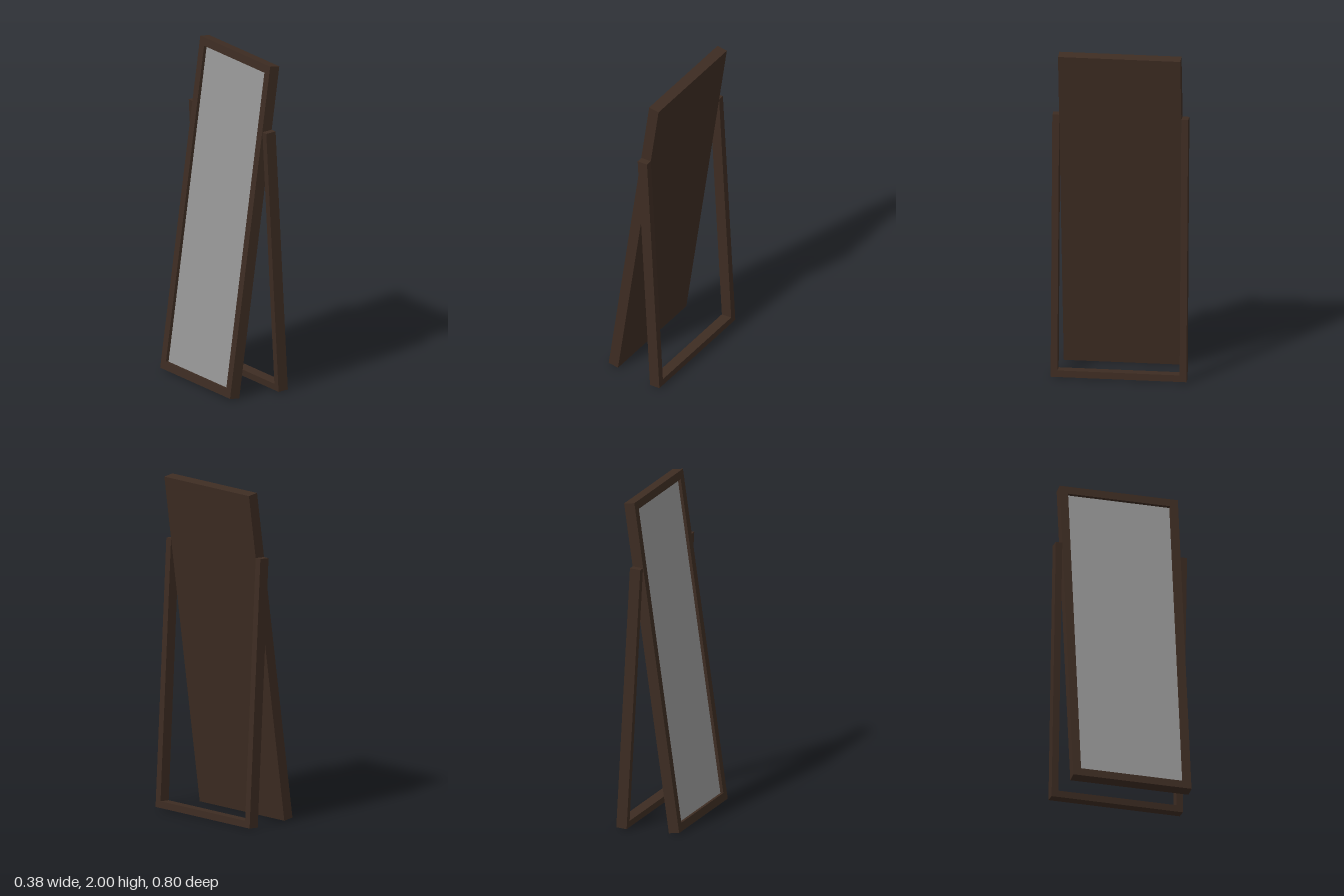
import * as THREE from 'three';

export function createModel() {
  const model = new THREE.Group();
  model.name = 'standingMirror';

  const wood = new THREE.MeshStandardMaterial({ color: 0x3d2c22 });
  wood.name = 'darkWood';
  const glass = new THREE.MeshStandardMaterial({ color: 0x969696 });
  glass.name = 'mirrorGrey';

  const add = (parent, name, geometry, material, x, y, z) => {
    const mesh = new THREE.Mesh(geometry, material);
    mesh.name = name;
    mesh.position.set(x, y, z);
    parent.add(mesh);
    return mesh;
  };
  const box = (w, h, d) => new THREE.BoxGeometry(w, h, d);

  const depth = 0.066;   // timber depth shared by panel and stand
  const recess = 0.022;  // how far the glass sits behind the frame face

  // Leaning panel: its mirrored face looks towards -x
  const panel = new THREE.Group();
  panel.name = 'mirrorPanel';
  panel.position.set(-0.02, 1.0, 0);
  panel.rotation.z = -0.1423;
  model.add(panel);

  const W = 0.36, H = 1.005, border = 0.049;
  const rect = (path, w, h) => path.moveTo(-w, -h).lineTo(w, -h).lineTo(w, h).lineTo(-w, h).closePath();
  const outline = rect(new THREE.Shape(), W, H);
  outline.holes.push(rect(new THREE.Path(), W - border, H - border));
  const frame = new THREE.ExtrudeGeometry(outline, { depth: recess, bevelEnabled: false });
  frame.rotateY(-Math.PI / 2);
  add(panel, 'mirrorFrame', frame, wood, -depth / 2 + recess, 0, 0);
  add(panel, 'backBoard', box(depth - recess, 2 * H, 2 * W), wood, recess / 2, 0, 0);
  add(panel, 'mirrorGlass', box(0.004, 2 * (H - border), 2 * (W - border)), glass,
    -depth / 2 + recess - 0.001, 0, 0);

  // Rear stand: two legs beside the panel joined by a bottom bar
  const stand = new THREE.Group();
  stand.name = 'rearStand';
  stand.position.set(0.1115, 0.808, 0);
  stand.rotation.z = 0.0543;
  model.add(stand);

  const legLength = 1.604;
  for (const side of [-1, 1]) {
    add(stand, side > 0 ? 'leftLeg' : 'rightLeg', box(depth, legLength, 0.04), wood, 0, 0, side * 0.38);
  }
  add(stand, 'bottomBar', box(depth, 0.04, 0.72), wood, 0, -legLength / 2 + 0.02, 0);

  return model;
}
